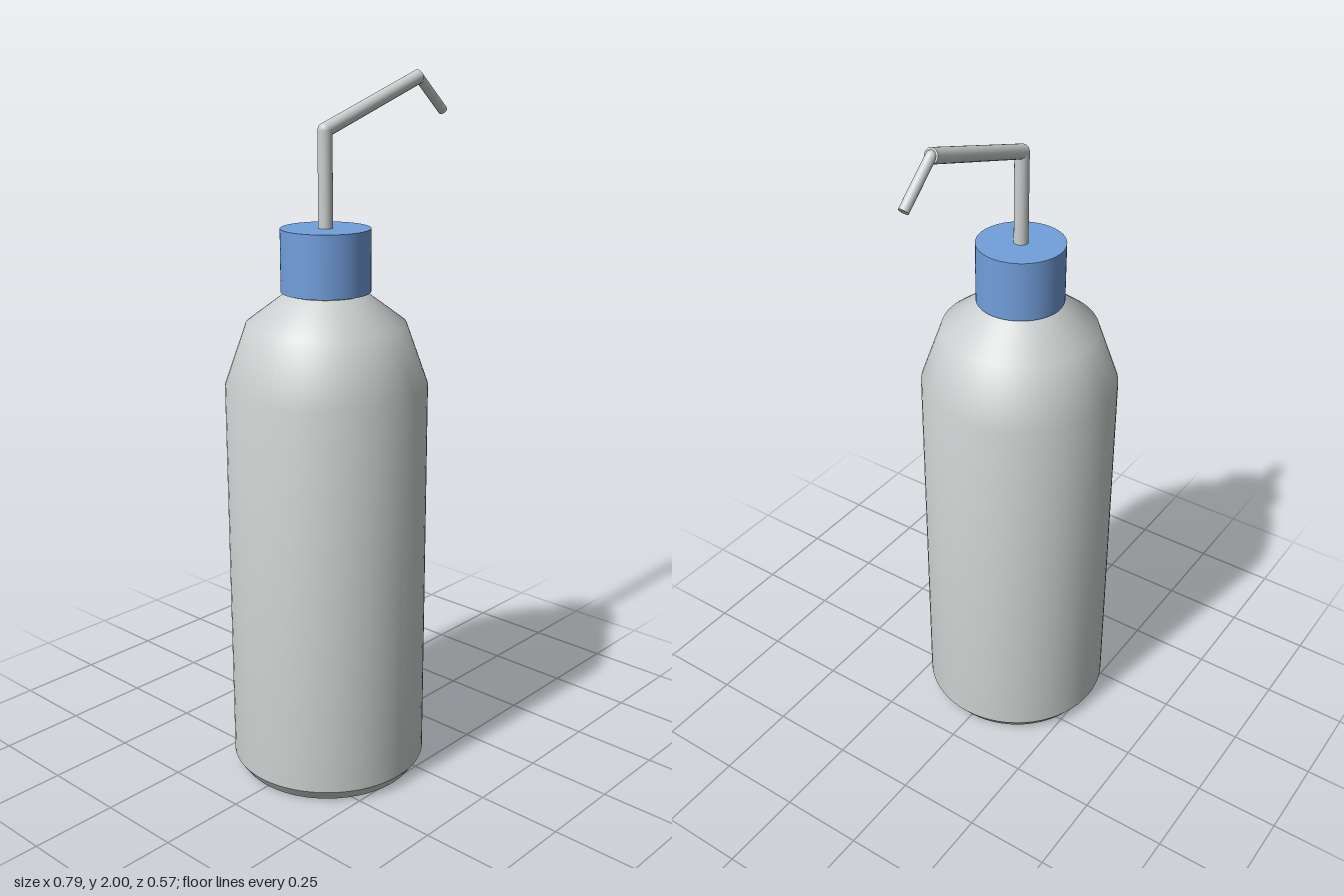
import * as THREE from 'three';
import { toCreasedNormals } from 'three/addons/utils/BufferGeometryUtils.js';

export function createModel() {
  const plastic = new THREE.MeshStandardMaterial({ color: 0xcccfcf });
  plastic.name = 'translucent grey plastic';
  const blue = new THREE.MeshStandardMaterial({ color: 0x729fdc });
  blue.name = 'blue cap plastic';

  const model = new THREE.Group();
  model.name = 'washBottle';
  const axis = -0.113; // the bottle stands off-centre so the spout fits

  const add = (name, geometry, material, x, y) => {
    const mesh = new THREE.Mesh(geometry, material);
    mesh.name = name;
    mesh.position.set(x, y, 0);
    model.add(mesh);
    return mesh;
  };

  // Straight round pipe between two points in the z = 0 plane
  const pipe = (name, a, b, radius) => {
    const dx = b[0] - a[0], dy = b[1] - a[1];
    const mesh = add(name, new THREE.CylinderGeometry(radius, radius, Math.hypot(dx, dy), 24),
      plastic, (a[0] + b[0]) / 2, (a[1] + b[1]) / 2);
    mesh.rotation.z = Math.atan2(-dx, dy);
  };

  // Bottle body: chamfered foot, straight wall, two-step shoulder and neck
  const profile = [
    [0, 0], [0.258, 0], [0.283, 0.035], [0.283, 1.165],
    [0.222, 1.337], [0.112, 1.42], [0.112, 1.45], [0, 1.45],
  ].map(([r, y]) => new THREE.Vector2(r, y));
  add('bottleBody', toCreasedNormals(new THREE.LatheGeometry(profile, 64), 0.6), plastic, axis, 0);

  // Screw cap
  add('cap', new THREE.CylinderGeometry(0.124, 0.124, 0.173, 64), blue, axis, 1.51);

  // Bent spout: riser, rising arm and thinner nozzle
  const elbow = [axis, 1.855], bend = [0.272, 1.981], end = [0.384, 1.883];
  pipe('spoutRiser', [axis, 1.58], elbow, 0.02);
  pipe('spoutArm', elbow, bend, 0.02);
  pipe('spoutNozzle', bend, end, 0.014);
  add('spoutElbow', new THREE.SphereGeometry(0.02, 24, 16), plastic, ...elbow);
  add('spoutBend', new THREE.SphereGeometry(0.014, 24, 16), plastic, ...bend);

  return model;
}
